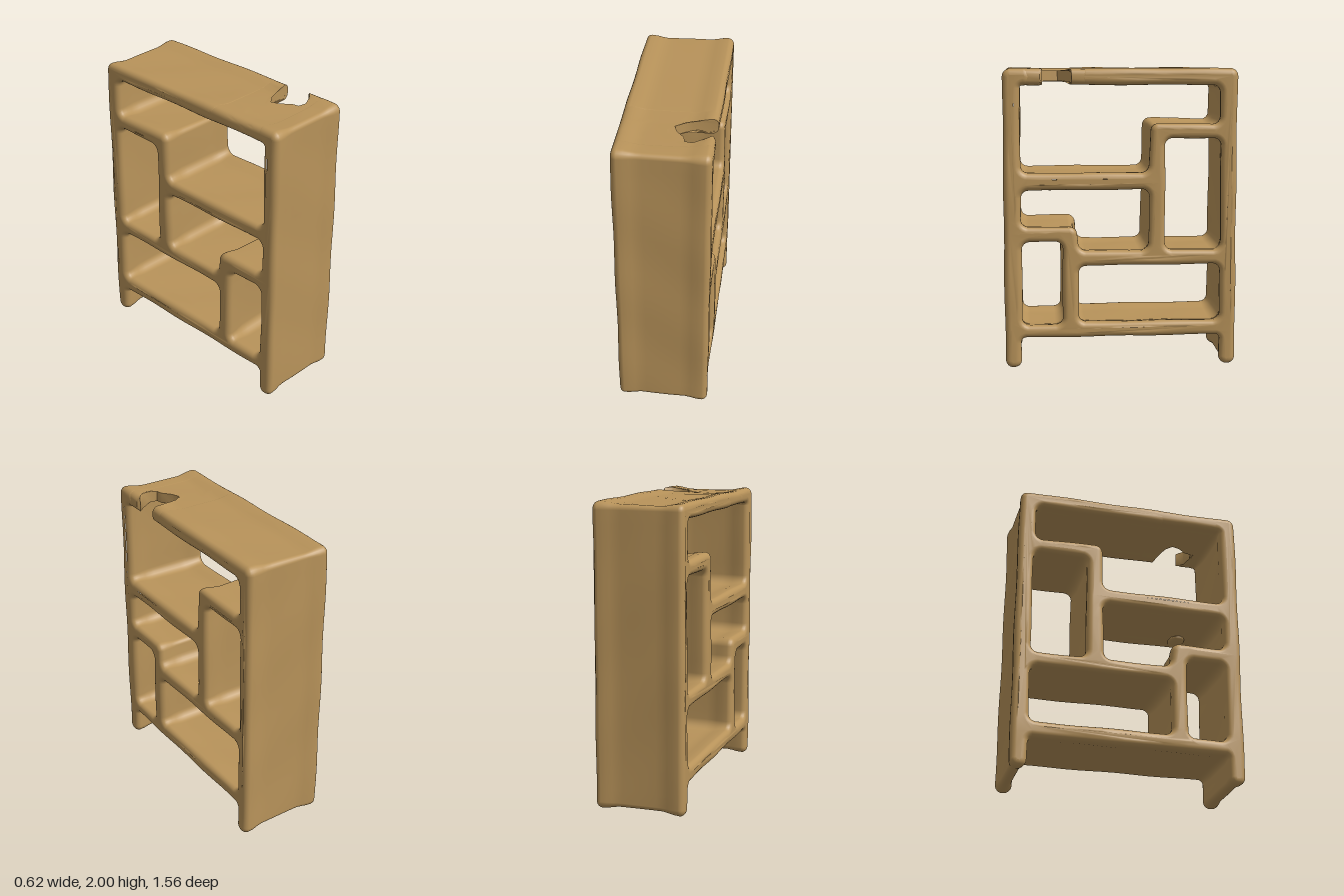
import * as THREE from 'three';
import { mergeVertices, toCreasedNormals } from 'three/addons/utils/BufferGeometryUtils.js';

const HALF = 0.303, BEVEL = 0.038; // half depth of the boards, edge rounding
const TOP_Y = 1.942, TOP_HALF = 0.052;

// boards are thinner in the middle, so their edges read as soft beads
const dip = x => 0.018 * (1 - THREE.MathUtils.smoothstep(Math.abs(x), 0.14, 0.26));
const wobble = (x, y, z) =>
  0.0025 * (Math.sin(9 * y + 7 * x + 1) + Math.sin(11 * z - 8 * x + 2 * y));

// polygon with rounded corners [x, y, radius], long sides subdivided
function roundedPoints(corners, radius = 0.05) {
  const pts = [], n = corners.length;
  corners.forEach((c, i) => {
    const p = new THREE.Vector2(c[0], c[1]);
    const toward = k => new THREE.Vector2(...corners[(i + k + n) % n].slice(0, 2)).sub(p).normalize();
    const r = c[2] ?? radius;
    const a = p.clone().addScaledVector(toward(-1), r);
    const b = p.clone().addScaledVector(toward(1), r);
    const arc = new THREE.CubicBezierCurve(a, a.clone().lerp(p, 0.55), b.clone().lerp(p, 0.55), b);
    pts.push(...arc.getPoints(6));
  });
  const out = [];
  pts.forEach((p, i) => {
    const q = pts[(i + 1) % pts.length];
    const m = Math.max(1, Math.ceil(p.distanceTo(q) / 0.09));
    for (let k = 0; k < m; k++) out.push(p.clone().lerp(q, k / m));
  });
  return out;
}

// side profile of the whole case; the top board is left open where it is broken
function frameGeometry() {
  const shape = new THREE.Shape(roundedPoints([
    [-0.775, 0], [-0.665, 0], [-0.665, 0.2, 0.03], [0.668, 0.2, 0.03], [0.668, 0], [0.775, 0],
    [0.775, 1.994], [-0.28, 1.994], [-0.28, 1.89],
    [0.662, 1.89], [0.66, 1.63], [0.195, 1.64], [0.185, 1.31], [-0.665, 1.31],
    [-0.665, 1.89, 0.02], [-0.59, 1.89], [-0.59, 1.994], [-0.775, 1.994],
  ]));
  const compartments = [
    [[0.295, 0.79], [0.668, 0.79], [0.668, 1.535], [0.295, 1.535]],
    [[-0.665, 0.955], [-0.295, 0.955], [-0.28, 0.79], [0.18, 0.79], [0.19, 1.2], [-0.665, 1.2]],
    [[-0.66, 0.29], [-0.39, 0.29], [-0.39, 0.85], [-0.66, 0.85]],
    [[-0.285, 0.305], [0.668, 0.305], [0.668, 0.69], [-0.285, 0.69]],
  ];
  for (const c of compartments) shape.holes.push(new THREE.Path(roundedPoints(c)));

  let g = new THREE.ExtrudeGeometry(shape, {
    depth: 2 * (HALF - BEVEL), steps: 14, bevelEnabled: true, bevelSegments: 5,
    bevelSize: BEVEL, bevelThickness: BEVEL, bevelOffset: -BEVEL,
  });
  g.translate(0, 0, BEVEL - HALF).rotateY(Math.PI / 2);
  g.deleteAttribute('normal');
  g.deleteAttribute('uv');
  g = mergeVertices(g);
  g.computeVertexNormals();
  const p = g.attributes.position, nrm = g.attributes.normal;
  const v = new THREE.Vector3(), n = new THREE.Vector3();
  for (let i = 0; i < p.count; i++) {
    v.fromBufferAttribute(p, i);
    n.fromBufferAttribute(nrm, i);
    v.addScaledVector(n, wobble(v.x, v.y, v.z) - dip(v.x));
    p.setXYZ(i, v.x, v.y, v.z);
  }
  g.computeVertexNormals();
  return g;
}

// stretch of the top board whose left edge is bitten away: [z, right end x]
function brokenTopGeometry() {
  const edge = [
    [0.2, HALF], [0.325, HALF], [0.335, 0.15], [0.37, 0.09], [0.41, 0.04], [0.47, 0.06],
    [0.53, 0.11], [0.575, 0.12], [0.59, 0.17], [0.56, 0.24], [0.515, 0.285], [0.53, HALF], [0.7, HALF],
  ];
  const half = x => {
    const e = Math.max(0, BEVEL - (HALF - Math.abs(x))) / BEVEL;
    return TOP_HALF - 0.001 - BEVEL * (1 - Math.sqrt(Math.max(0, 1 - e * e))) - dip(x);
  };
  const N = 28, ring = 2 * (N + 1), pos = [], idx = [];
  edge.forEach(([z, end], j) => {
    // rows start evenly spread on the right and bend to the torn outline at their left end
    const even = 0.2 + 0.5 * Math.sqrt(j / (edge.length - 1));
    for (let k = 0; k < ring; k++) {
      const top = k <= N, s = top ? k : ring - 1 - k;
      const t = (1 - Math.cos(Math.PI * s / N)) / 2;
      const x = THREE.MathUtils.lerp(-HALF, end, t);
      const zz = THREE.MathUtils.lerp(even, z, t ** 6);
      const side = top ? 1 : -1;
      pos.push(x, TOP_Y + side * (half(x) + wobble(x, TOP_Y + side * TOP_HALF, zz)), zz);
      if (j < edge.length - 1) {
        const a = j * ring + k, b = j * ring + (k + 1) % ring;
        idx.push(a, a + ring, b, b, a + ring, b + ring);
      }
    }
  });
  const g = new THREE.BufferGeometry();
  g.setAttribute('position', new THREE.Float32BufferAttribute(pos, 3));
  g.setIndex(idx);
  return toCreasedNormals(g, 0.7);
}

export function createModel() {
  const group = new THREE.Group();
  group.name = 'shelfUnit';
  const wood = new THREE.MeshStandardMaterial({ color: 0xb8935a });
  const tornWood = new THREE.MeshStandardMaterial({ color: 0xb8935a, side: THREE.DoubleSide });
  const add = (name, geometry, material) => {
    const mesh = new THREE.Mesh(geometry, material);
    mesh.name = name;
    group.add(mesh);
    return mesh;
  };
  add('shelfFrame', frameGeometry(), wood);
  add('brokenTopBoard', brokenTopGeometry(), tornWood);

  // rough lump under the upper shelf
  const lump = add('shelfSplinter', new THREE.IcosahedronGeometry(1, 1), wood);
  lump.scale.set(0.09, 0.022, 0.06);
  lump.position.set(0.19, 1.212, 0.47);
  return group;
}
